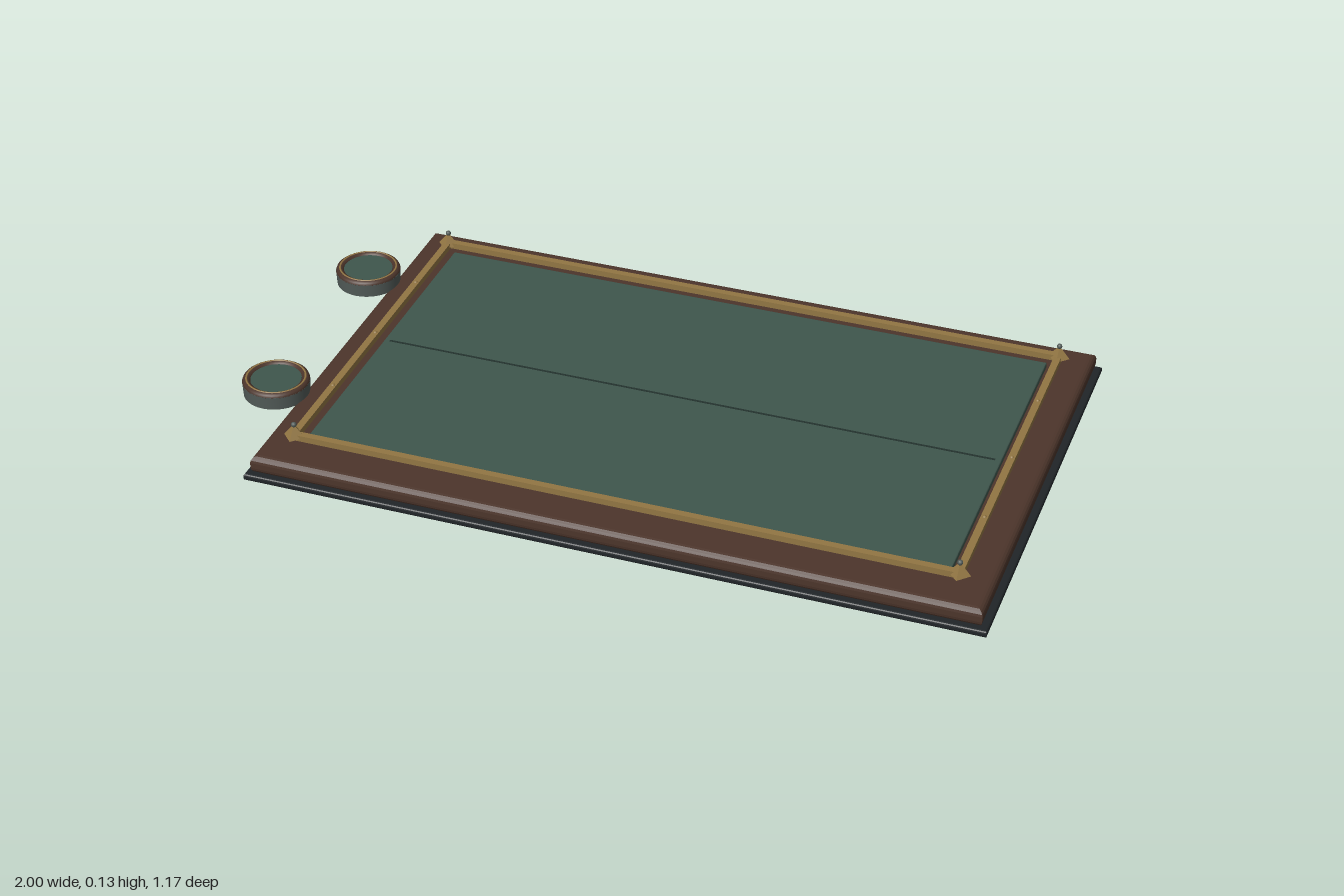
import * as THREE from 'three';

const CX = 0.065; // centre of the board in x
const mat = (color) => new THREE.MeshStandardMaterial({ color });

// Rectangular slab with mitred, rounded edges, lying between y0 and y1
function slab(w, d, y0, y1, bevel, segments) {
  const a = w / 2 - bevel, b = d / 2 - bevel;
  const shape = new THREE.Shape([
    new THREE.Vector2(-a, -b), new THREE.Vector2(a, -b),
    new THREE.Vector2(a, b), new THREE.Vector2(-a, b),
  ]);
  const geo = new THREE.ExtrudeGeometry(shape, {
    depth: y1 - y0 - 2 * bevel, bevelEnabled: true,
    bevelSize: bevel, bevelThickness: bevel, bevelSegments: segments,
  });
  return geo.rotateX(-Math.PI / 2).translate(CX, y0 + bevel, 0);
}

export function createModel() {
  const group = new THREE.Group();
  const dark = mat(0x202528), wood = mat(0x4c352b), felt = mat(0x3f564d);
  const brass = mat(0x927643), grey = mat(0x525b58), seamMat = mat(0x24332e);

  const add = (name, geo, material, x = 0, y = 0, z = 0, parent = group) => {
    const mesh = new THREE.Mesh(geo, material);
    mesh.name = name;
    mesh.position.set(x, y, z);
    parent.add(mesh);
    return mesh;
  };

  // Stacked board
  add('basePlate', slab(1.86, 1.17, 0, 0.018, 0.006, 3), dark);
  add('woodenBody', slab(1.83, 1.146, 0.016, 0.064, 0.017, 4), wood);
  add('feltPanel', slab(1.62, 0.925, 0.062, 0.08, 0.003, 2), felt);
  add('centreSeam', new THREE.BoxGeometry(1.59, 0.003, 0.006), seamMat, CX, 0.0795, 0);

  // Brass rails with small studs
  const hx = 0.835, hz = 0.484;
  const stud = new THREE.SphereGeometry(0.006, 12, 8);
  for (const s of [-1, 1]) {
    add('longRail', new THREE.BoxGeometry(2 * hx, 0.016, 0.018), brass, CX, 0.089, s * hz);
    add('shortRail', new THREE.BoxGeometry(0.018, 0.016, 2 * hz), brass, CX + s * hx, 0.089, 0);
    for (const z of [-0.26, 0, 0.26])
      add('railStud', stud, brass, CX + s * hx, 0.095, z);
  }

  // Pyramid finials on the four corners
  for (const sx of [-1, 1]) for (const sz of [-1, 1]) {
    const finial = new THREE.Group();
    finial.name = 'cornerFinial';
    finial.position.set(CX + sx * hx, 0, sz * hz);
    const cone = new THREE.ConeGeometry(0.028, 0.034, 4).toNonIndexed();
    cone.computeVertexNormals();
    add('pyramid', cone, brass, 0, 0.105, 0, finial);
    add('tip', new THREE.SphereGeometry(0.007, 12, 8), grey, 0, 0.121, 0, finial);
    group.add(finial);
  }

  // Round side trays
  for (const s of [-1, 1]) {
    const tray = new THREE.Group();
    tray.name = 'sideTray';
    tray.position.set(-0.915, 0, s * 0.282);
    add('cup', new THREE.CylinderGeometry(0.085, 0.083, 0.035, 40), grey, 0, 0.0775, 0, tray);
    add('feltDisc', new THREE.CylinderGeometry(0.064, 0.064, 0.006, 40), felt, 0, 0.096, 0, tray);
    const rim = new THREE.TorusGeometry(0.074, 0.011, 10, 40).rotateX(Math.PI / 2);
    add('rim', rim, wood, 0, 0.094, 0, tray);
    const trim = new THREE.TorusGeometry(0.074, 0.003, 8, 40).rotateX(Math.PI / 2);
    add('rimTrim', trim, brass, 0, 0.103, 0, tray);
    group.add(tray);
  }
  return group;
}
